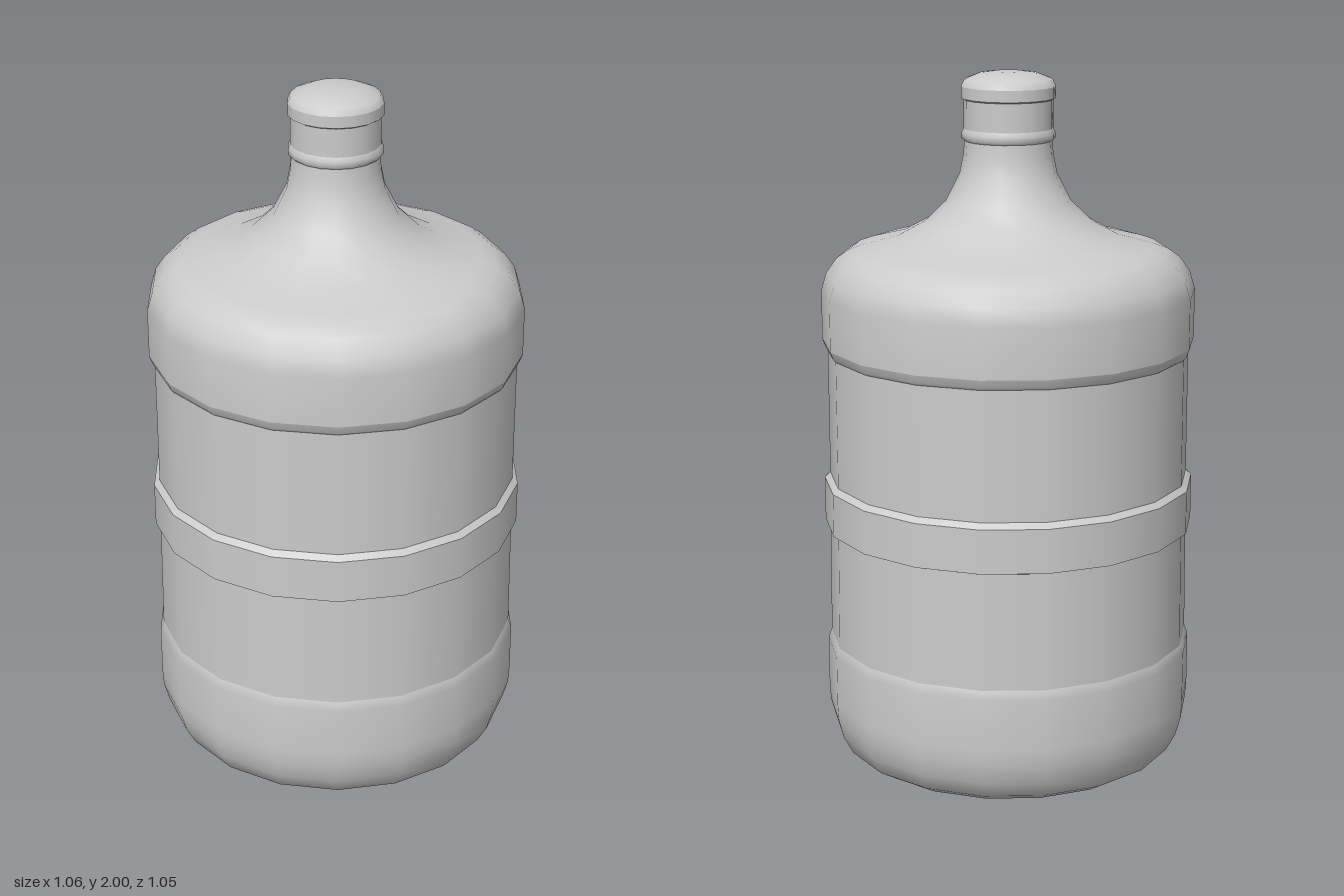
import * as THREE from 'three';

const SIDES = 18;
const material = new THREE.MeshStandardMaterial({ color: 0xcccccc });
const openMaterial = new THREE.MeshStandardMaterial({ color: 0xcccccc, side: THREE.DoubleSide });

// Revolve a profile of [radius, y] pairs, smooth within one piece
function lathe(name, profile, start = Math.PI / 2, length = Math.PI * 2, sides = SIDES, mat = material) {
  const points = profile.map(([r, y]) => new THREE.Vector2(r, y));
  const mesh = new THREE.Mesh(new THREE.LatheGeometry(points, sides, start, length), mat);
  mesh.name = name;
  return mesh;
}

export function createModel() {
  const bottle = new THREE.Group();
  bottle.name = 'waterBottle';

  // Separate pieces meet at sharp edges
  const pieces = {
    baseDimpleFloor: [[0, 0.05], [0.09, 0.05]],
    baseDimpleWall: [[0.09, 0.05], [0.176, 0.012]],
    baseFloor: [[0.176, 0.012], [0.4, 0.012]],
    lowerBody: [[0.4, 0.012], [0.44, 0.018], [0.485, 0.045], [0.512, 0.095], [0.527, 0.15],
      [0.53, 0.2], [0.53, 0.345], [0.52, 0.372]],
    lowerWall: [[0.52, 0.372], [0.517, 0.705]],
    bandUnderside: [[0.517, 0.705], [0.531, 0.71]],
    band: [[0.531, 0.71], [0.531, 0.835]],
    bandTop: [[0.531, 0.835], [0.515, 0.85]],
    upperWall: [[0.515, 0.85], [0.515, 1.215]],
    shoulderLip: [[0.515, 1.215], [0.522, 1.223], [0.53, 1.245]],
    shoulder: [[0.53, 1.245], [0.53, 1.385], [0.515, 1.435], [0.485, 1.477], [0.45, 1.501],
      [0.41, 1.515], [0.31, 1.541], [0.235, 1.582], [0.175, 1.64], [0.137, 1.715],
      [0.126, 1.77], [0.123, 1.808]],
    neckRing: [[0.123, 1.808], [0.131, 1.815], [0.131, 1.83], [0.125, 1.842]],
    neck: [[0.125, 1.842], [0.125, 1.922]],
    capUnderside: [[0.125, 1.922], [0.132, 1.926]],
    capRim: [[0.132, 1.926], [0.132, 1.958]],
    capTop: [[0.132, 1.958], [0.122, 1.978], [0.082, 1.994], [0.04, 1.999], [0, 2]],
  };
  for (const [name, profile] of Object.entries(pieces)) bottle.add(lathe(name, profile));

  // Two low curved feet under the base
  const footProfile = [[0.315, 0.013], [0.325, 0], [0.36, 0], [0.37, 0.013]];
  for (const [name, turn] of [['footArcFront', 0], ['footArcBack', Math.PI]]) {
    const start = THREE.MathUtils.degToRad(-70) + turn;
    bottle.add(lathe(name, footProfile, start, Math.PI / 2, 5, openMaterial));
  }

  return bottle;
}
